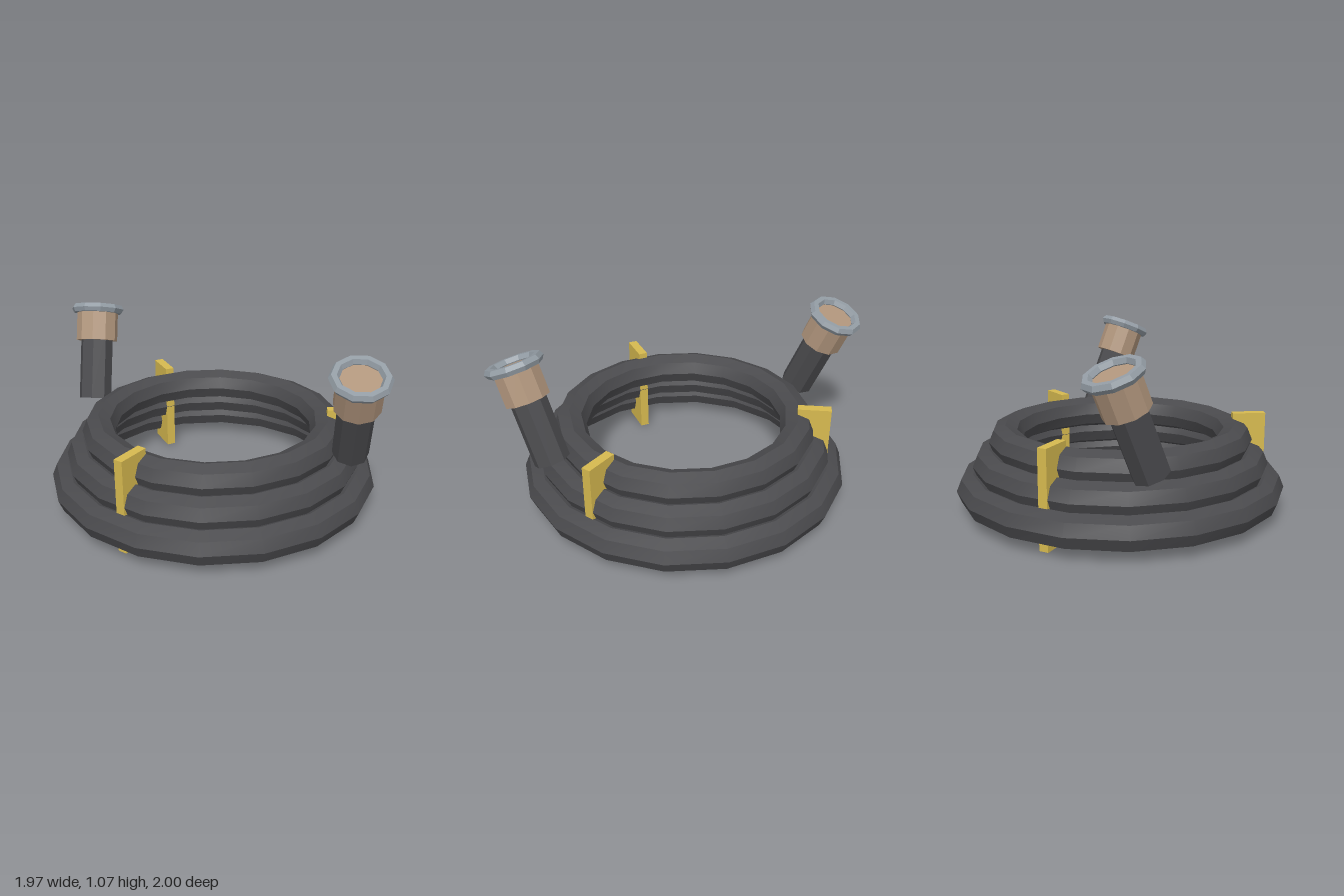
import * as THREE from 'three';
import { toCreasedNormals } from 'three/addons/utils/BufferGeometryUtils.js';

const material = (color) => new THREE.MeshStandardMaterial({ color });
const rubber = material(0x4a4a4d);
const brass = material(0xb0957c);
const steel = material(0x929ba3);
const yellow = material(0xd6b94f);

function part(name, geometry, mat) {
  const mesh = new THREE.Mesh(toCreasedNormals(geometry, Math.PI / 6), mat);
  mesh.name = name;
  return mesh;
}

// Flat-lying ring, hole axis along y
const ring = (radius, tube, sides, segments) =>
  new THREE.TorusGeometry(radius, tube, sides, segments).rotateX(Math.PI / 2);

// Cylinder standing on height y
const post = (radius, y, height, sides) =>
  new THREE.CylinderGeometry(radius, radius, height, sides).translate(0, y + height / 2, 0);

// Loose hose end with its coupling, leaning outwards
function createHoseEnd(name) {
  const end = new THREE.Group();
  end.name = name;
  end.add(part('hoseStub', post(0.105, 0, 0.45, 8), rubber));
  end.add(part('couplingSleeve', post(0.133, 0.38, 0.2, 10), brass));
  const rim = part('couplingRim', ring(0.142, 0.03, 6, 10), steel);
  rim.position.y = 0.586;
  end.add(rim);
  end.position.set(0.81, 0.45, 0.335);
  end.rotation.x = 0.4;
  return end;
}

export function createModel() {
  const model = new THREE.Group();
  model.name = 'coiledHose';

  // Three stacked coils, narrowing upwards
  for (let i = 0; i < 3; i++) {
    const coil = part('coil' + (i + 1), ring(0.9 - i * 0.1, 0.1, 8, 18).rotateY(Math.PI / 2), rubber);
    coil.position.y = 0.145 * (i + 1);
    model.add(coil);
  }

  // Three upright straps around the coils
  for (let i = 0; i < 3; i++) {
    const strap = part('strap' + (i + 1),
      new THREE.BoxGeometry(0.2, 0.57, 0.055).translate(0.79, 0.285, 0), yellow);
    strap.rotation.y = (i * Math.PI * 2) / 3;
    model.add(strap);
  }

  // Two hose ends, opposite each other
  const sides = ['leftHoseEnd', 'rightHoseEnd'];
  sides.forEach((name, i) => {
    const pivot = new THREE.Group();
    pivot.name = name + 'Pivot';
    pivot.rotation.y = i * Math.PI;
    pivot.add(createHoseEnd(name));
    model.add(pivot);
  });

  return model;
}
